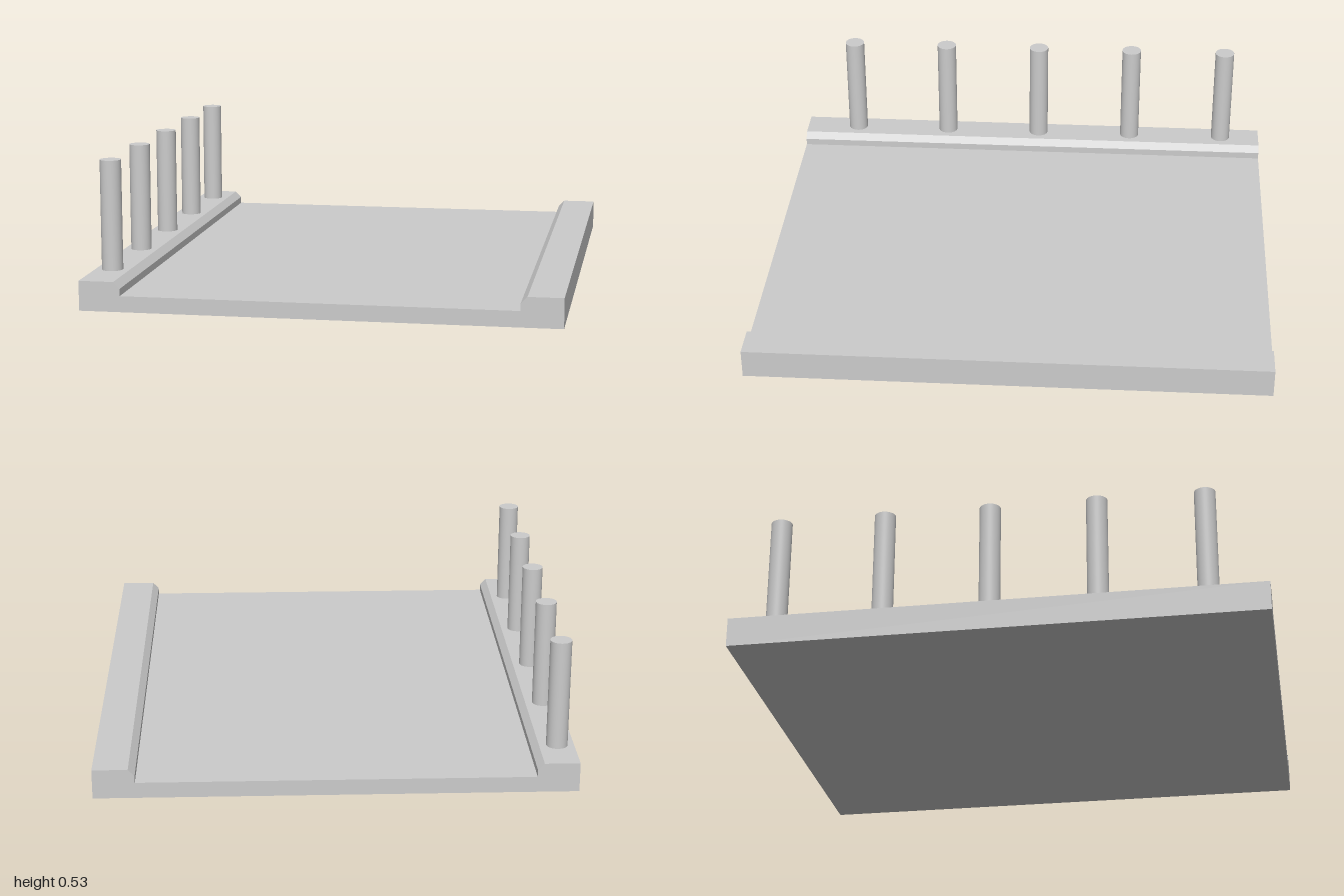
import * as THREE from 'three';

const HALF_WIDTH = 0.888, LENGTH = 2;
const DECK_TOP = 0.06, CURB_TOP = 0.112, POST_TOP = 0.53;

export function createModel() {
  const group = new THREE.Group();
  const material = new THREE.MeshStandardMaterial({ color: 0xcccccc });

  // Deck slab with a chamfered curb along each side, one extruded section
  const curb = [[HALF_WIDTH, 0], [HALF_WIDTH, CURB_TOP], [0.757, CURB_TOP], [0.733, 0.087], [0.733, DECK_TOP]];
  const mirrored = curb.map(([x, y]) => [-x, y]).reverse();
  const section = new THREE.Shape([...curb, ...mirrored].map(([x, y]) => new THREE.Vector2(x, y)));
  const deckGeometry = new THREE.ExtrudeGeometry(section, { depth: LENGTH, bevelEnabled: false });
  deckGeometry.translate(0, 0, -LENGTH / 2);
  const deck = new THREE.Mesh(deckGeometry, material);
  deck.name = 'deckWithCurbs';
  group.add(deck);

  // Row of round posts standing on the right curb
  const postHeight = POST_TOP - CURB_TOP;
  const postGeometry = new THREE.CylinderGeometry(0.04, 0.04, postHeight, 40);
  const posts = new THREE.Group();
  posts.name = 'posts';
  for (let i = 0; i < 5; i++) {
    const post = new THREE.Mesh(postGeometry, material);
    post.name = `post${i + 1}`;
    post.position.set(-0.824, CURB_TOP + postHeight / 2, -0.832 + i * 0.402);
    posts.add(post);
  }
  group.add(posts);

  return group;
}
